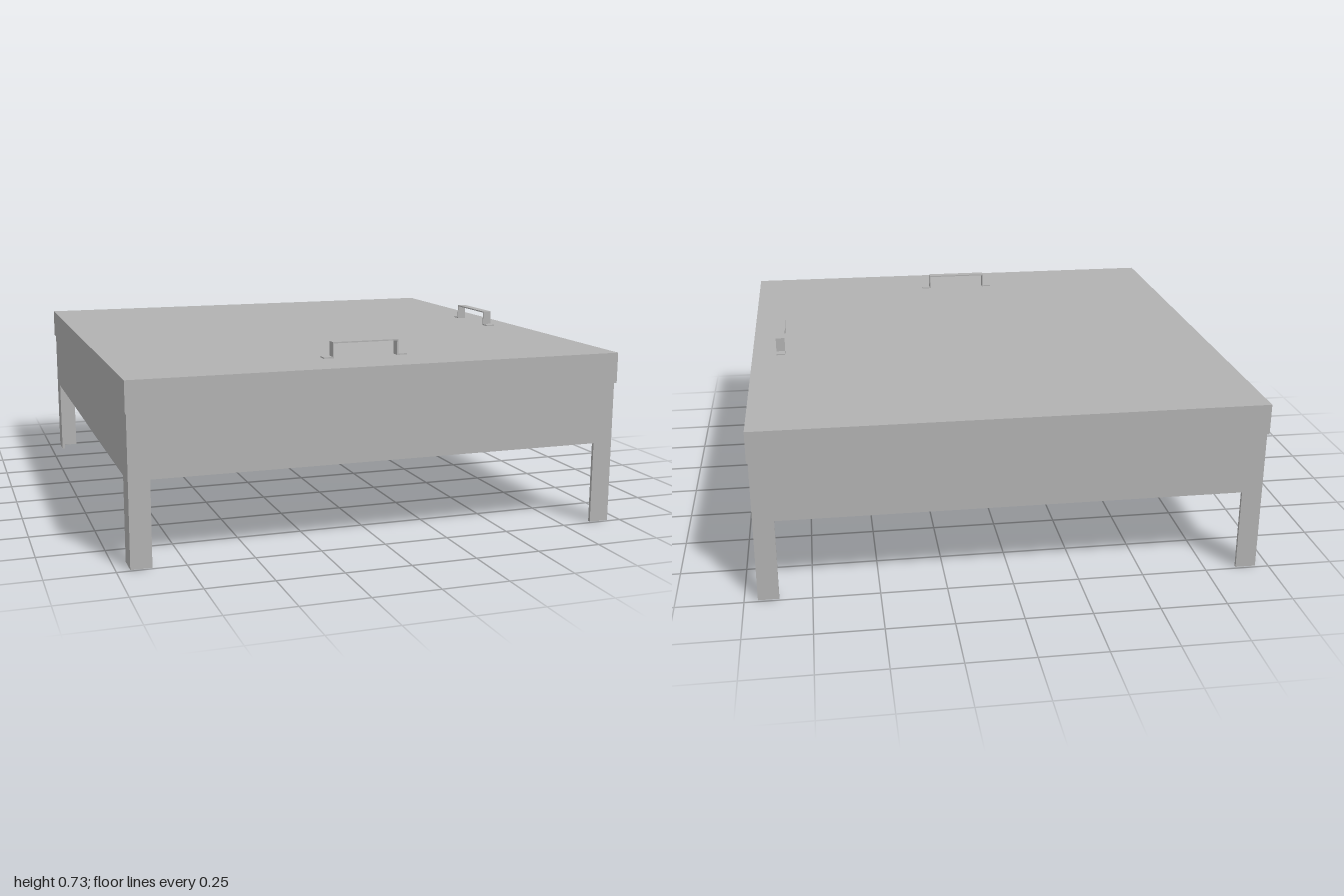
import * as THREE from 'three';

const metal = new THREE.MeshStandardMaterial({ color: 0xb2b2b2 });
metal.name = 'grey metal';

const HX = 0.95, HZ = 0.99;          // half size of the body
const SHEET = 0.012;                 // sheet thickness
const APRON = 0.318, LID_Y = 0.554, TOP = 0.672;

function box(name, w, h, d, x, y, z) {
  const mesh = new THREE.Mesh(new THREE.BoxGeometry(w, h, d), metal);
  mesh.name = name;
  mesh.position.set(x, y, z);
  return mesh;
}

// Side panel cut from one sheet: an apron with a leg at each end
function sidePanel(name, half, leg) {
  const inner = half - leg;
  const shape = new THREE.Shape([
    [-half, 0], [-inner, 0], [-inner, APRON], [inner, APRON],
    [inner, 0], [half, 0], [half, LID_Y], [-half, LID_Y],
  ].map(([x, y]) => new THREE.Vector2(x, y)));
  const geo = new THREE.ExtrudeGeometry(shape, { depth: SHEET, bevelEnabled: false });
  const mesh = new THREE.Mesh(geo, metal);
  mesh.name = name;
  return mesh;
}

// Bent strap handle with two flat feet, running along x
function handle(name) {
  const half = 0.132, foot = 0.168, rise = 0.061, t = 0.005, depth = 0.036;
  const right = [[foot, 0], [foot, t], [half, t], [half, rise]];
  const left = right.map(([x, y]) => [-x, y]).reverse();
  const inside = [[-half + t, 0], [-half + t, rise - t], [half - t, rise - t], [half - t, 0]];
  const shape = new THREE.Shape([...right, ...left, ...inside].map(([x, y]) => new THREE.Vector2(x, y)));
  const geo = new THREE.ExtrudeGeometry(shape, { depth, bevelEnabled: false });
  geo.translate(0, 0, -depth / 2);
  const mesh = new THREE.Mesh(geo, metal);
  mesh.name = name;
  return mesh;
}

export function createModel() {
  const model = new THREE.Group();
  model.name = 'lidded box on legs';

  // Lid, slightly larger than the body
  model.add(box('lid', 1.91, TOP - LID_Y, 2, 0, (TOP + LID_Y) / 2, 0));

  // Four panels with legs; the side panels fit between the front and back ones
  for (const s of [1, -1]) {
    const end = sidePanel(s > 0 ? 'frontPanel' : 'backPanel', HX, 0.078);
    end.rotation.y = s > 0 ? 0 : Math.PI;
    end.position.z = s * (HZ - SHEET);
    const side = sidePanel(s > 0 ? 'leftPanel' : 'rightPanel', HZ - SHEET, 0.093 - SHEET);
    side.rotation.y = s * Math.PI / 2;
    side.position.x = s * (HX - SHEET);
    model.add(end, side);
  }

  // Floor, set just above the lower edge of the panels
  model.add(box('floor', 2 * (HX - SHEET), 0.012, 2 * (HZ - SHEET), 0, 0.354, 0));

  // Handles near the front and left edges of the lid
  const frontHandle = handle('frontHandle');
  frontHandle.position.set(-0.002, TOP, 0.768);
  const leftHandle = handle('leftHandle');
  leftHandle.rotation.y = Math.PI / 2;
  leftHandle.position.set(0.84, TOP, -0.012);
  model.add(frontHandle, leftHandle);

  return model;
}
